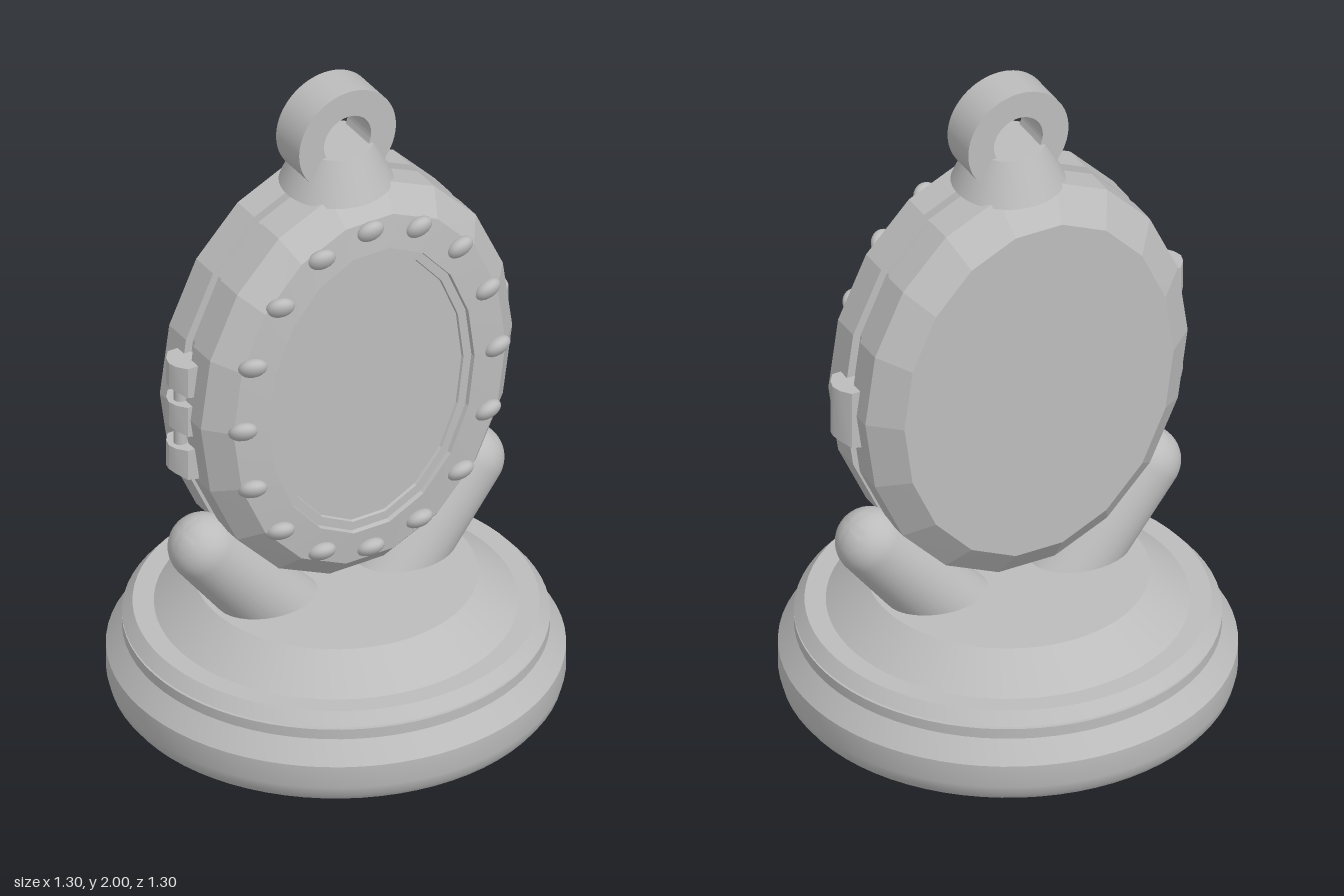
import * as THREE from 'three';
import { toCreasedNormals } from 'three/addons/utils/BufferGeometryUtils.js';

const CY = 1.07; // height of the locket centre

// Oval shell through rings of [rx, ry, z], back to front
function loft(rings, sides) {
  const pos = [], idx = [];
  for (const [rx, ry, z] of rings) {
    for (let j = 0; j < sides; j++) {
      const a = (j / sides) * Math.PI * 2;
      pos.push(rx * Math.cos(a), ry * Math.sin(a), z);
    }
  }
  for (let i = 0; i < rings.length - 1; i++) {
    for (let j = 0; j < sides; j++) {
      const k = (j + 1) % sides;
      const a = i * sides + j, b = i * sides + k, c = a + sides, d = b + sides;
      idx.push(a, b, d, a, d, c);
    }
  }
  const g = new THREE.BufferGeometry();
  g.setAttribute('position', new THREE.Float32BufferAttribute(pos, 3));
  g.setIndex(idx);
  return toCreasedNormals(g, 0.12);
}

// Rounded block on the locket's edge with a bevelled lower end
function edgeBlock(outer, halfDepth, bottom, top, bevel) {
  const inner = 0.46;
  const s = new THREE.Shape([
    [inner, -halfDepth], [outer - 0.03, -halfDepth], [outer - 0.008, -halfDepth * 0.5], [outer, 0],
    [outer - 0.008, halfDepth * 0.5], [outer - 0.03, halfDepth], [inner, halfDepth],
  ].map(([x, y]) => new THREE.Vector2(x, y)));
  const g = new THREE.ExtrudeGeometry(s, { depth: top - bottom, bevelEnabled: false });
  g.rotateX(-Math.PI / 2);
  g.translate(0, bottom, 0);
  const p = g.attributes.position;
  for (let i = 0; i < p.count; i++) {
    // the underside slopes up towards the outer face
    if (p.getY(i) < bottom + 0.001) p.setY(i, bottom + bevel * Math.max(0, (p.getX(i) - 0.5) / (outer - 0.5)));
  }
  g.computeVertexNormals();
  return toCreasedNormals(g, 0.4);
}

export function createModel() {
  const model = new THREE.Group();
  const metal = new THREE.MeshStandardMaterial({ color: 0xbcbcbc });
  metal.name = 'grey metal';
  const add = (name, geometry, parent = model) => {
    const m = new THREE.Mesh(geometry, metal);
    m.name = name;
    parent.add(m);
    return m;
  };

  // Turned base with a groove underneath
  const profile = [
    [0, 0], [0.46, 0], [0.46, 0.05], [0.565, 0.05], [0.565, 0], [0.625, 0], [0.64, 0.02], [0.648, 0.05],
    [0.648, 0.12], [0.6, 0.185], [0.603, 0.185], [0.603, 0.217], [0.59, 0.217], [0.59, 0.224],
    [0.603, 0.224], [0.573, 0.26], [0.513, 0.26], [0.4, 0.355], [0, 0.355],
  ].map(([x, y]) => new THREE.Vector2(x, y));
  add('base', toCreasedNormals(new THREE.LatheGeometry(profile, 72), 0.45));

  // Two leaning posts with round ends
  const postShape = [new THREE.Vector2(0, -0.46), new THREE.Vector2(0.122, -0.46)];
  for (let i = 0; i <= 12; i++) {
    const a = (i / 12) * Math.PI / 2;
    postShape.push(new THREE.Vector2(i === 12 ? 0 : 0.1 * Math.cos(a), 0.1 * Math.sin(a)));
  }
  // the lower end is buried in the base
  for (const side of [1, -1]) {
    const post = add(side > 0 ? 'leftPost' : 'rightPost',
      toCreasedNormals(new THREE.LatheGeometry(postShape, 32), 0.6));
    post.position.set(side * 0.44, 0.59, 0);
    post.rotation.z = -side * 0.717;
  }

  // Oval locket: bevelled back, seam groove, sloped front, sunken window
  const locket = new THREE.Group();
  locket.name = 'locket';
  locket.position.y = CY;
  model.add(locket);
  add('locketCase', loft([
    [0, 0, -0.185], [0.43, 0.545, -0.185], [0.515, 0.64, -0.11],
    [0.515, 0.64, -0.02], [0.49, 0.615, -0.02], [0.49, 0.615, 0.02], [0.515, 0.64, 0.02],
    [0.515, 0.64, 0.11], [0.45, 0.57, 0.18], [0.34, 0.467, 0.192],
    [0.338, 0.464, 0.178], [0.312, 0.437, 0.178], [0.31, 0.434, 0.17], [0, 0, 0.17],
  ], 18), locket);

  // Ring of flattened beads, tipped outwards
  const beadGeometry = new THREE.SphereGeometry(0.043, 20, 14);
  beadGeometry.scale(1, 1, 0.6);
  for (let i = 0; i < 16; i++) {
    const a = (i / 16) * Math.PI * 2;
    const bead = add('bead', beadGeometry, locket);
    bead.position.set(0.42 * Math.sin(a), 0.53 * Math.cos(a), 0.181);
    bead.lookAt(bead.position.x + 0.35 * Math.sin(a), bead.position.y + 0.35 * Math.cos(a), 1.181);
  }

  // Clasp on the left edge, hinge knuckles on the right edge
  add('clasp', edgeBlock(0.56, 0.058, 0.95, 1.15, 0.035));
  for (const top of [1.245, 1.115, 0.97]) {
    const knuckle = add('hingeKnuckle', edgeBlock(0.553, 0.055, top - 0.11, top, 0.03));
    // turned half way round to the opposite edge
    knuckle.rotation.y = Math.PI;
  }
  const pin = add('hingePin', new THREE.CylinderGeometry(0.02, 0.02, 0.34, 16));
  pin.position.set(-0.515, 1.06, 0);

  // Collar and hanging ring
  const collar = add('collar', new THREE.CylinderGeometry(0.105, 0.162, 0.125, 48));
  collar.position.y = 1.742;
  const ring = new THREE.Shape().absarc(0, 0, 0.16, 0, Math.PI * 2, false);
  ring.holes.push(new THREE.Path().absarc(0, 0, 0.078, 0, Math.PI * 2, true));
  const ringGeometry = new THREE.ExtrudeGeometry(ring, { depth: 0.124, bevelEnabled: false, curveSegments: 48 });
  ringGeometry.translate(0, 1.84, -0.062);
  add('hangingRing', toCreasedNormals(ringGeometry, 0.5));

  return model;
}
